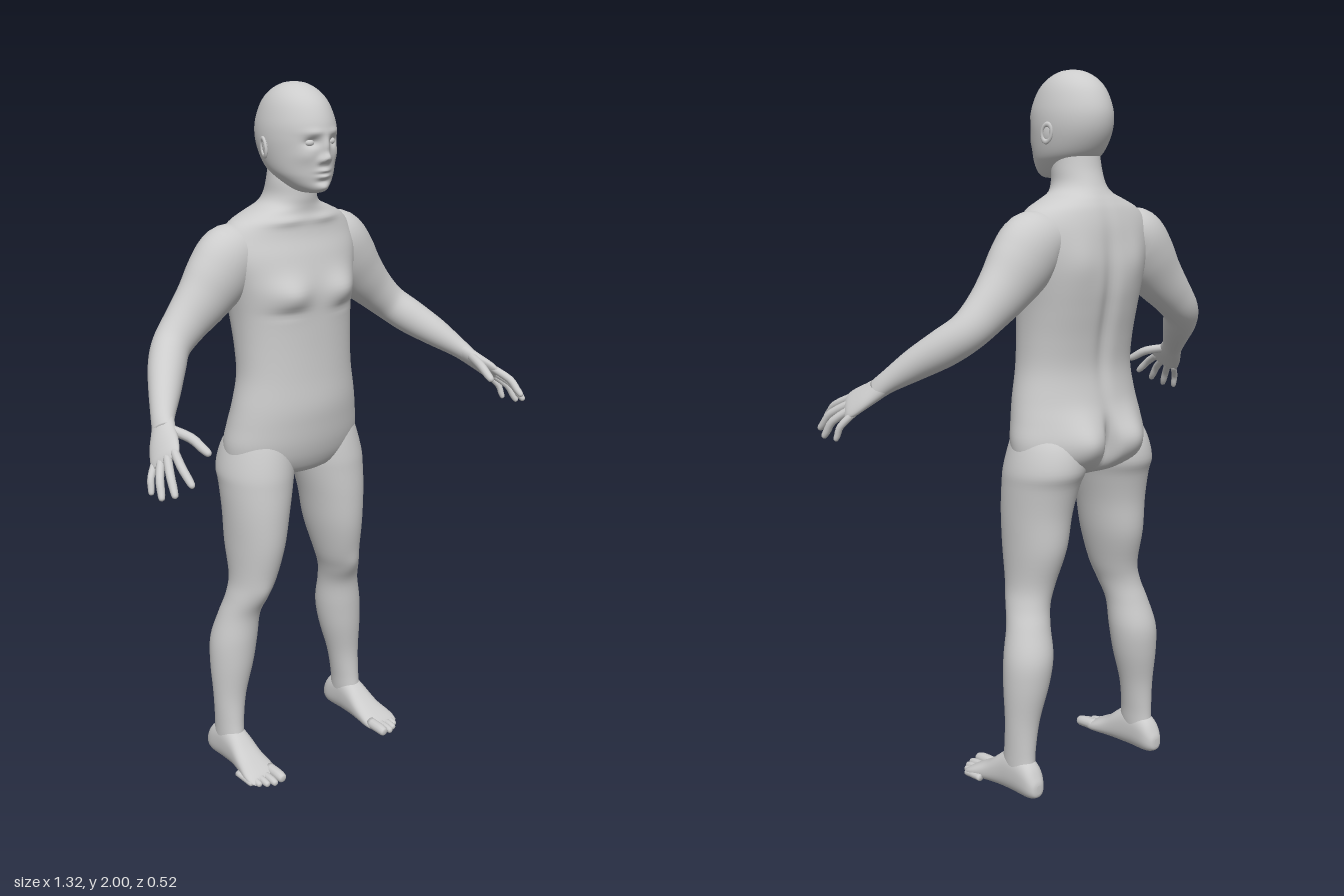
import * as THREE from 'three';

const skin = new THREE.MeshStandardMaterial({ color: 0xcccccc, roughness: 0.8 });
const Y = new THREE.Vector3(0, 1, 0), Z = new THREE.Vector3(0, 0, 1), DOWN = new THREE.Vector3(0, -1, 0);

const spline = (a, b, c, d, t) =>
  b + 0.5 * t * (c - a + t * (2 * a - 5 * b + 4 * c - d + t * (3 * (b - c) + d - a)));

// Smooth in-between rows along a list of cross-sections
function refine(rows, steps) {
  const out = [], last = rows.length - 1;
  for (let i = 0; i < last; i++) {
    const [p, q, r, s] = [rows[Math.max(i - 1, 0)], rows[i], rows[i + 1], rows[Math.min(i + 2, last)]];
    for (let k = 0; k < steps; k++) out.push(q.map((_, n) => spline(p[n], q[n], r[n], s[n], k / steps)));
  }
  out.push(rows[last]);
  return out;
}

// Soft bumps [x, y, outward, spreadX, spreadY, face], mirrored in x; face is 1 front, -1 back
function sculpt(p, sine, bumps) {
  let dz = 0;
  for (const [x, y, out, sx, sy, face] of bumps) {
    const weight = THREE.MathUtils.clamp(sine * face * 2, 0, 1) * face * out;
    for (const cx of x ? [x, -x] : [0])
      dz += weight * Math.exp(-(((p.x - cx) / sx) ** 2) - ((p.y - y) / sy) ** 2);
  }
  p.z += dz;
}

// Skin over oval sections [x, y, z, halfWidth, halfDepth, squareness]; depth follows the hint axis
function loft(name, sections, { hint = Z, dir = null, side = 1, seg = 32, steps = 5, bumps = [] } = {}) {
  const rows = refine(sections, steps), pos = [], index = [];
  const centre = r => new THREE.Vector3(r[0], r[1], r[2]);
  rows.forEach((r, i) => {
    const t = dir ? dir.clone() : centre(rows[Math.min(i + 1, rows.length - 1)])
      .sub(centre(rows[Math.max(i - 1, 0)])).normalize();
    const v = hint.clone().addScaledVector(t, -hint.dot(t)).normalize();
    const u = v.clone().cross(t);
    for (let j = 0; j < seg; j++) {
      const a = j / seg * Math.PI * 2, c = Math.cos(a), s = Math.sin(a);
      const pow = w => Math.sign(w) * Math.abs(w) ** (r[5] ?? 1);
      const p = centre(r).addScaledVector(u, r[3] * pow(c)).addScaledVector(v, r[4] * pow(s));
      sculpt(p, s, bumps);
      pos.push(p.x * side, p.y, p.z);
    }
  });
  const face = (a, b, c) => side > 0 ? index.push(a, b, c) : index.push(a, c, b);
  const n = rows.length - 1, start = pos.length / 3, end = start + 1;
  for (const r of [rows[0], rows[n]]) pos.push(r[0] * side, r[1], r[2]);
  for (let j = 0; j < seg; j++) {
    const k = (j + 1) % seg;
    for (let i = 0; i < n; i++) {
      const a = i * seg + j, b = i * seg + k;
      face(a, b, b + seg);
      face(a, b + seg, a + seg);
    }
    face(start, k, j);
    face(end, n * seg + j, n * seg + k);
  }
  const geo = new THREE.BufferGeometry();
  geo.setAttribute('position', new THREE.Float32BufferAttribute(pos, 3));
  geo.setIndex(index);
  geo.computeVertexNormals();
  const mesh = new THREE.Mesh(geo, skin);
  mesh.name = name;
  return mesh;
}

// Level section given as x, y, half width, front z, back z
const level = ([x, y, w, f, b, e = 1]) => [x, y, (f + b) / 2, w, (f - b) / 2, e];

// Rounded finger or toe through three points
function digit(name, a, m, b, r, side) {
  const [A, M, B] = [a, m, b].map(p => new THREE.Vector3(...p));
  const at = (t, k) => [...M.clone().lerp(B, t).toArray(), r * k, r * k];
  const rows = [[...A.toArray(), r, r], at(0, 1), at(0.6, 0.92), at(0.88, 0.75), at(0.97, 0.45), at(1, 0.08)];
  return loft(name, rows, { hint: Y, side, seg: 12, steps: 3 });
}

function ball(name, x, y, z, sx, sy, sz) {
  const mesh = new THREE.Mesh(new THREE.SphereGeometry(1, 24, 16), skin);
  mesh.name = name;
  mesh.position.set(x, y, z);
  mesh.scale.set(sx, sy, sz);
  return mesh;
}

function makeTorso() {
  const rows = [
    [0, 1.79, .064, -.035, -.15], [0, 1.74, .069, -.022, -.16], [0, 1.70, .073, -.02, -.175],
    [0, 1.675, .092, -.022, -.188], [0, 1.655, .138, -.022, -.2], [0, 1.63, .188, -.018, -.212],
    [0, 1.59, .22, -.01, -.223], [0, 1.54, .224, .008, -.23, .95], [0, 1.48, .208, .024, -.236, .9],
    [0, 1.42, .196, .031, -.234, .9], [0, 1.36, .188, .033, -.224, .9], [0, 1.28, .184, .035, -.208, .92],
    [0, 1.2, .186, .039, -.2, .95], [0, 1.12, .202, .045, -.212], [0, 1.06, .214, .041, -.224],
    [0, 1.0, .224, .033, -.232], [0, .95, .212, .018, -.222], [0, .915, .15, -.005, -.19], [0, .895, .04, -.05, -.14]
  ].map(level);
  return loft('torso', rows, { dir: DOWN, seg: 128, bumps: [
    [.092, 1.44, .026, .06, .042, 1], [.1, 1.39, -.006, .05, .012, 1],          // chest
    [.07, 1.635, .007, .06, .012, 1],                                         // collarbones
    [.088, 1.0, .037, .062, .07, -1], [0, .98, -.04, .02, .065, -1],          // buttocks
    [0, 1.36, -.014, .025, .2, -1], [.1, 1.5, .008, .05, .07, -1]             // spine and shoulder blades
  ] });
}

function makeHead() {
  const head = new THREE.Group();
  head.name = 'head';
  const rows = [
    [0, 2.0, .004, -.07, -.08], [0, 1.994, .033, -.035, -.113], [0, 1.975, .061, .002, -.15],
    [0, 1.945, .081, .033, -.179], [0, 1.9, .095, .054, -.198], [0, 1.86, .099, .057, -.2],
    [0, 1.82, .096, .054, -.188], [0, 1.78, .088, .051, -.162], [0, 1.755, .076, .049, -.128],
    [0, 1.73, .054, .045, -.085], [0, 1.715, .03, .032, -.05], [0, 1.711, .004, .0, -.02]
  ].map(level);
  head.add(loft('skull and face', rows, { dir: DOWN, seg: 112, steps: 8, bumps: [
    [0, 1.838, .011, .012, .026, 1], [0, 1.809, .018, .013, .012, 1], [.014, 1.803, .009, .008, .008, 1], // nose
    [.036, 1.85, -.014, .019, .012, 1], [.034, 1.876, .005, .026, .009, 1],                               // sockets, brows
    [0, 1.775, .009, .021, .006, 1], [0, 1.759, .009, .019, .006, 1], [0, 1.745, -.004, .02, .006, 1],    // lips
    [0, 1.728, .009, .022, .012, 1], [.055, 1.815, .005, .022, .02, 1]                                    // chin, cheeks
  ] }));
  for (const side of [1, -1]) {
    head.add(ball('eye', side * .036, 1.849, .029, .015, .011, .014));
    const ear = new THREE.Group();
    ear.name = 'ear';
    const rim = new THREE.Mesh(new THREE.TorusGeometry(.015, .0045, 10, 28), skin);
    rim.name = 'ear rim';
    rim.rotation.y = Math.PI / 2;
    rim.scale.y = 1.55;
    ear.add(rim, ball('ear bowl', -side * .004, 0, 0, .006, .024, .015));
    ear.position.set(side * .101, 1.832, -.082);
    ear.rotation.set(-.2, side * .3, 0);
    head.add(ear);
  }
  return head;
}

function makeArm(side) {
  const arm = new THREE.Group();
  arm.name = side > 0 ? 'left arm' : 'right arm';
  arm.add(loft('arm', [
    [.13, 1.56, -.125, .066, .07], [.188, 1.54, -.125, .094, .08], [.235, 1.49, -.125, .094, .077],
    [.285, 1.435, -.125, .08, .066], [.345, 1.378, -.124, .064, .056], [.4, 1.328, -.112, .054, .052],
    [.445, 1.286, -.07, .052, .05], [.495, 1.24, -.01, .043, .042], [.54, 1.195, .045, .029, .033],
    [.56, 1.17, .075, .022, .033]
  ], { side, seg: 40 }));
  arm.add(loft('palm', [
    [.53, 1.205, .033, .024, .028], [.56, 1.17, .075, .022, .036], [.583, 1.145, .11, .019, .045],
    [.6, 1.125, .138, .015, .046], [.609, 1.115, .152, .005, .036]
  ], { side, seg: 28 }));
  const fingers = [
    ['thumb', [.553, 1.177, .085], [.53, 1.163, .152], [.515, 1.13, .216], .013],
    ['index finger', [.582, 1.145, .15], [.6, 1.118, .208], [.601, 1.076, .26], .0115],
    ['middle finger', [.594, 1.132, .138], [.624, 1.099, .194], [.638, 1.05, .236], .0115],
    ['ring finger', [.603, 1.12, .125], [.637, 1.084, .167], [.652, 1.035, .196], .011],
    ['little finger', [.609, 1.11, .108], [.638, 1.076, .129], [.648, 1.034, .143], .0095]
  ];
  for (const [name, a, m, b, r] of fingers) arm.add(digit(name, a, m, b, r, side));
  return arm;
}

function makeLeg(side) {
  const leg = new THREE.Group();
  leg.name = side > 0 ? 'left leg' : 'right leg';
  leg.add(loft('leg', [
    [.11, 1.06, .08, -.01, -.17], [.118, 1.0, .1, .008, -.215], [.129, .93, .108, .02, -.229],
    [.135, .88, .103, .023, -.212], [.143, .8, .092, .025, -.196], [.15, .7, .08, .02, -.188],
    [.162, .6, .065, .0, -.16], [.178, .54, .06, -.02, -.156], [.193, .48, .062, -.044, -.17],
    [.205, .4, .07, -.05, -.191], [.214, .32, .065, -.056, -.187], [.226, .22, .049, -.067, -.17],
    [.232, .14, .04, -.064, -.166], [.234, .09, .037, -.058, -.168], [.235, .05, .034, -.06, -.178]
  ].map(level), { dir: DOWN, side, seg: 48, bumps: [[.172, .56, .006, .03, .035, 1]] }));
  // Foot sections run heel to toe: x, z, half width, top y
  leg.add(loft('foot', [
    [.236, -.2, .008, .045, .02], [.236, -.194, .022, .062, .008], [.235, -.168, .034, .1, 0],
    [.235, -.11, .038, .125, 0], [.235, -.06, .041, .106, 0], [.237, -.01, .047, .068, 0],
    [.24, .035, .054, .044, 0], [.242, .06, .051, .03, .001], [.242, .075, .042, .016, .004]
  ].map(([x, z, w, top, low]) => [x, (top + low) / 2, z, w, (top - low) / 2, .85]),
  { hint: Y, dir: Z, side, seg: 40 }));
  const toes = [[.205, .112, .0165], [.232, .112, .0115], [.253, .102, .011], [.271, .087, .0105], [.287, .067, .01]];
  toes.forEach(([x, z, r], i) => leg.add(digit(i ? 'toe' : 'big toe',
    [x, r + .006, z - .07], [x, r + .004, z - .03], [x, r, z], r, side)));
  return leg;
}

export function createModel() {
  const body = new THREE.Group();
  body.name = 'human figure';
  body.add(makeTorso(), makeHead());
  for (const side of [1, -1]) body.add(makeArm(side), makeLeg(side));
  return body;
}
